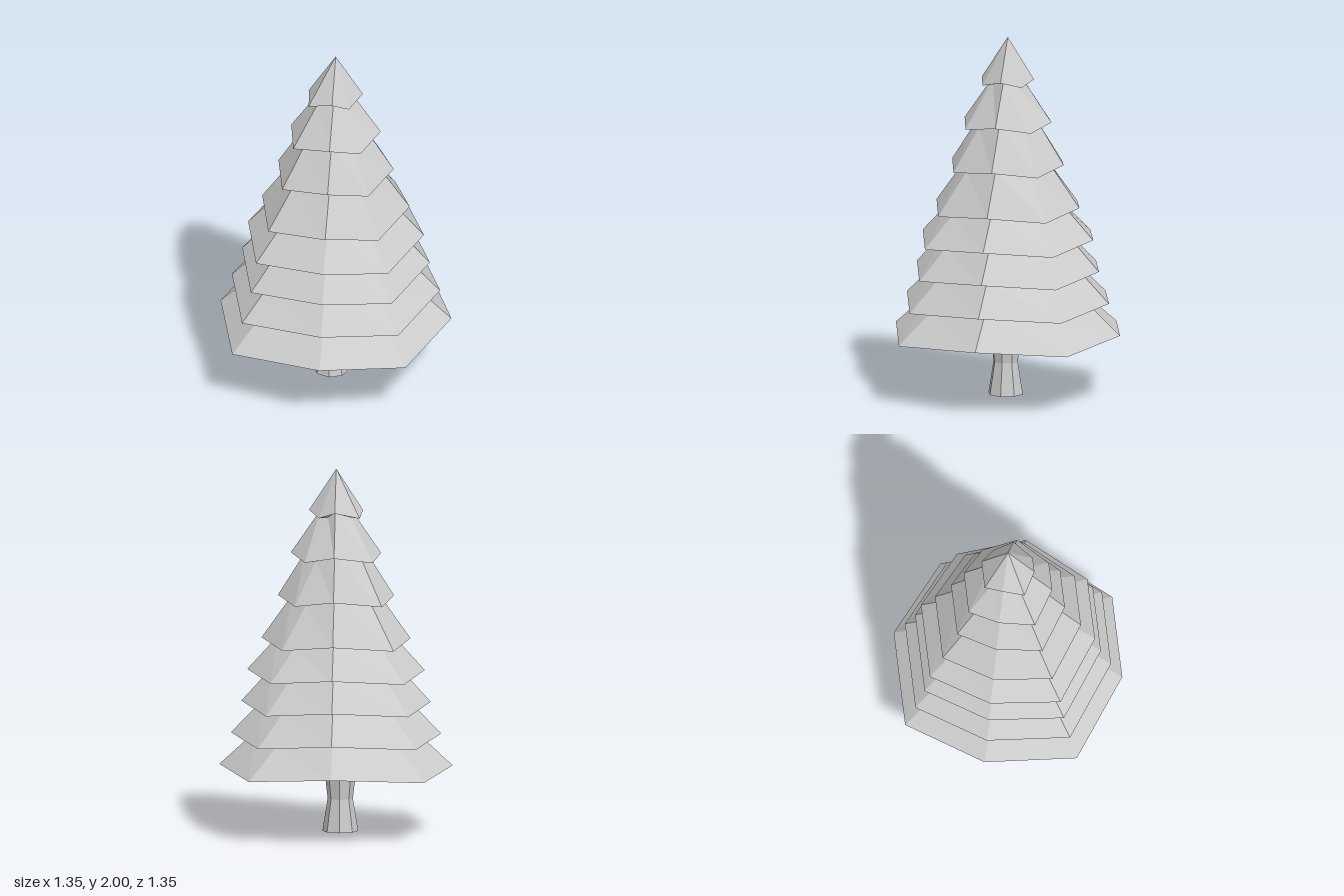
import * as THREE from 'three';

const material = new THREE.MeshStandardMaterial({ color: 0xcccccc, flatShading: true });

// Skins a stack of eight-sided rings, listed bottom to top, and closes both ends with fans.
function skin(rings, bottom, top) {
  const p = [];
  const tri = (a, b, c) => p.push(...a, ...b, ...c);
  for (let i = 0; i < 8; i++) {
    const j = (i + 1) % 8;
    for (let k = 0; k < rings.length - 1; k++) {
      const a = rings[k], b = rings[k + 1];
      tri(a[i], b[j], a[j]);
      tri(a[i], b[i], b[j]);
    }
    const last = rings[rings.length - 1];
    tri(bottom, rings[0][i], rings[0][j]);
    tri(top, last[j], last[i]);
  }
  const g = new THREE.BufferGeometry();
  g.setAttribute('position', new THREE.Float32BufferAttribute(p, 3));
  g.computeVertexNormals();
  return g;
}

// Branch ring: axis corners hang low, diagonal corners are pulled in, lifted and slightly shifted.
function branchRing(r, y) {
  return Array.from({ length: 8 }, (_, i) => {
    const a = (i * Math.PI) / 4, x = Math.cos(a), z = Math.sin(a);
    return i % 2
      ? [x * r * 0.942 + 0.01, y + 0.033, z * r * 0.942 - 0.022]
      : [x * r, y, z * r];
  });
}

function trunkRing(r, y) {
  return Array.from({ length: 8 }, (_, i) => {
    const a = (i * Math.PI) / 4;
    return [0.008 + r * Math.cos(a), y, 0.008 + r * Math.sin(a)];
  });
}

export function createModel() {
  const tree = new THREE.Group();
  tree.name = 'tree';

  // Foliage tiers: height of the rim, rim radius, radius where the next tier begins
  const tiers = [
    [0.335, 0.677, 0.475],
    [0.51, 0.61, 0.43],
    [0.685, 0.55, 0.38],
    [0.86, 0.515, 0.345],
    [1.035, 0.432, 0.255],
    [1.27, 0.337, 0.18],
    [1.505, 0.262, 0.09],
    [1.74, 0.157, 0],
  ];
  const rings = [];
  tiers.forEach(([y, rim, inner], i) => {
    rings.push(branchRing(rim, y));
    if (i < tiers.length - 1) rings.push(branchRing(inner, tiers[i + 1][0]));
  });
  const foliage = new THREE.Mesh(skin(rings, [0, 0.335, 0], [0.01, 2, -0.02]), material);
  foliage.name = 'foliage';
  tree.add(foliage);

  // Trunk with a narrow waist
  const trunkRings = [trunkRing(0.098, 0), trunkRing(0.069, 0.18), trunkRing(0.088, 0.345)];
  const trunk = new THREE.Mesh(skin(trunkRings, [0.008, 0, 0.008], [0.008, 0.345, 0.008]), material);
  trunk.name = 'trunk';
  tree.add(trunk);

  return tree;
}
